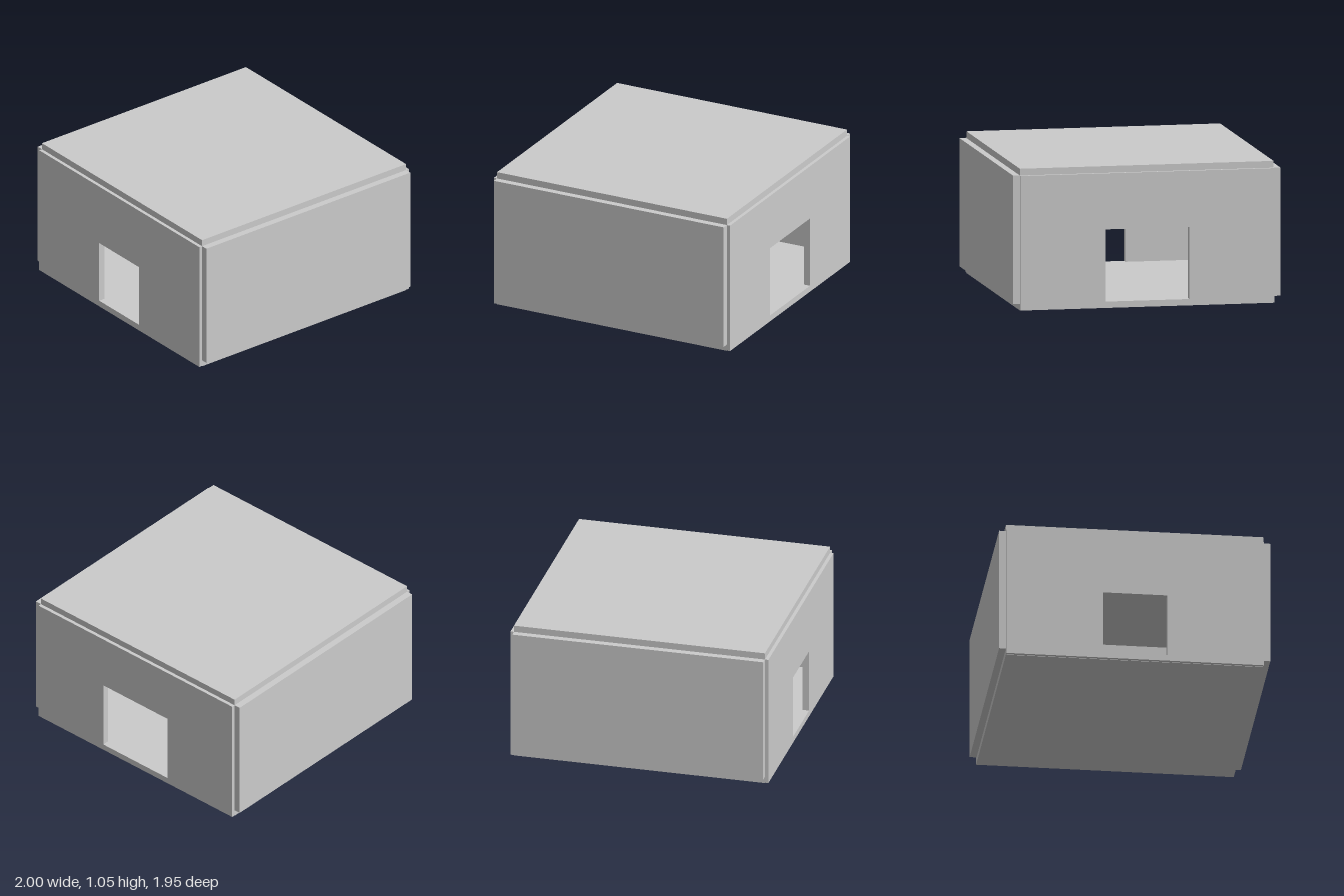
import * as THREE from 'three';

export function createModel() {
  const model = new THREE.Group();
  const material = new THREE.MeshStandardMaterial({ color: 0xcccccc, flatShading: true });
  const T = 0.05; // panel thickness

  function add(name, geometry, x, y, z) {
    const mesh = new THREE.Mesh(geometry, material);
    mesh.name = name;
    mesh.position.set(x, y, z);
    model.add(mesh);
  }

  // Floor and roof slabs
  const slab = new THREE.BoxGeometry(1.9, T, 1.9);
  add('floor', slab, 0, T / 2, 0);
  add('roof', slab, 0, 1 + T / 2, 0);

  // Solid side walls, outside the slab edges
  const sideWall = new THREE.BoxGeometry(T, 0.95, 1.9);
  add('leftWall', sideWall, 0.975, 0.525, 0);
  add('rightWall', sideWall, -0.975, 0.525, 0);

  // Front and back walls with a rectangular opening
  function wallWithOpening(halfWidth, top) {
    const shape = new THREE.Shape();
    shape.moveTo(-0.95, 0.003).lineTo(0.95, 0.003).lineTo(0.95, 1).lineTo(-0.95, 1).closePath();
    const hole = new THREE.Path();
    hole.moveTo(-halfWidth, T).lineTo(-halfWidth, top).lineTo(halfWidth, top).lineTo(halfWidth, T).closePath();
    shape.holes.push(hole);
    return new THREE.ExtrudeGeometry(shape, { depth: T, bevelEnabled: false });
  }
  add('frontWall', wallWithOpening(0.237, 0.53), 0, 0, 0.926);
  add('backWall', wallWithOpening(0.315, 0.585), 0, 0, -0.976);

  return model;
}
